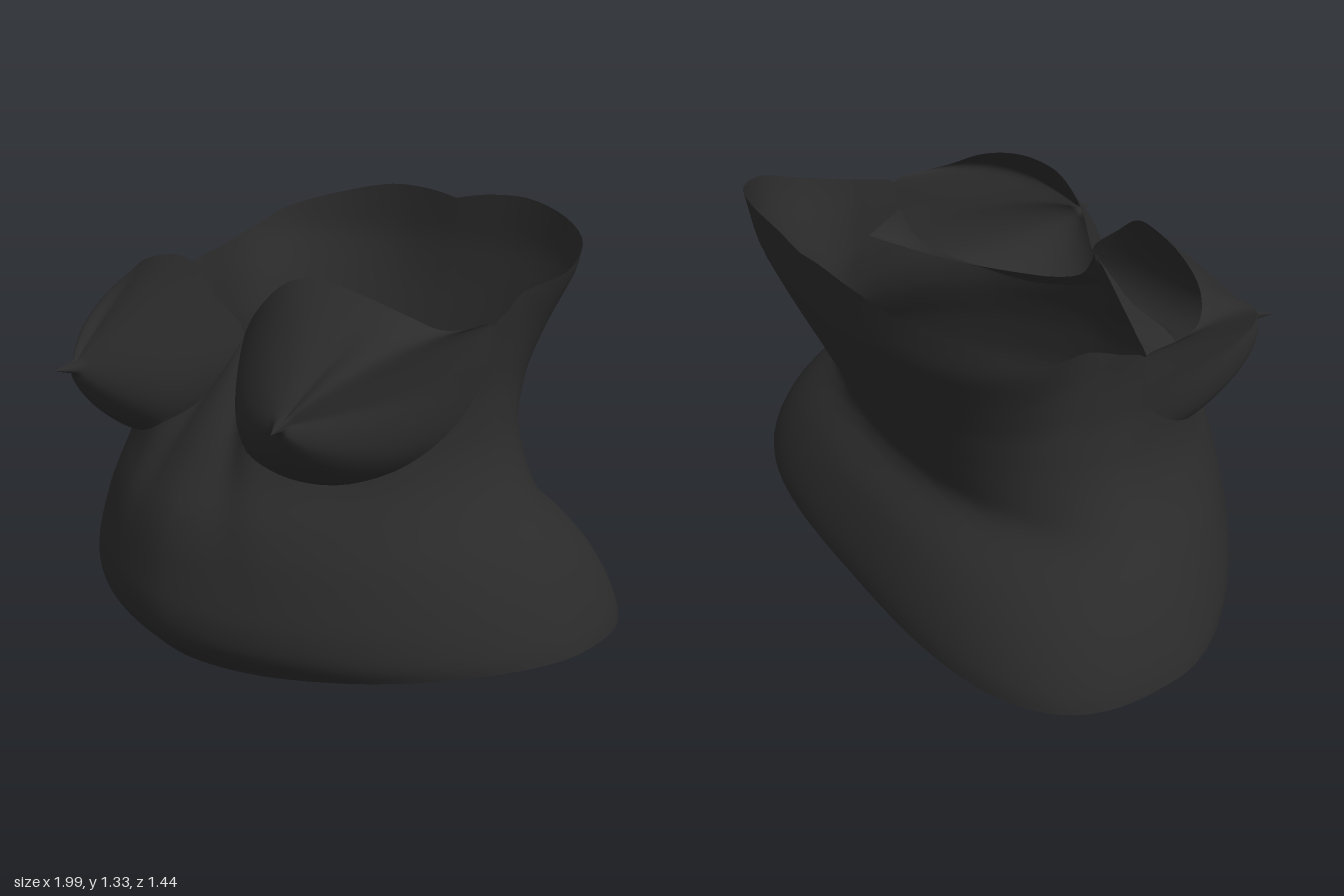
import * as THREE from 'three';

const fabric = new THREE.MeshStandardMaterial({ color: 0x2b2b2b, side: THREE.DoubleSide });
fabric.name = 'charcoal fabric';

const CENTRE_Z = -0.08;
const { clamp, lerp, smoothstep } = THREE.MathUtils;

// Torso sections: height, half width, front z, back z, squareness of the back
const SECTIONS = [
  [0, 0.98, 0.60, -0.63, 3], [0.05, 0.995, 0.665, -0.65, 3], [0.1, 1.0, 0.71, -0.655, 3],
  [0.2, 0.965, 0.725, -0.635, 2.9], [0.3, 0.92, 0.71, -0.60, 2.7], [0.4, 0.86, 0.695, -0.555, 2.3],
  [0.5, 0.78, 0.665, -0.455, 2], [0.6, 0.715, 0.60, -0.495, 1.95], [0.7, 0.675, 0.54, -0.535, 1.95],
  [0.85, 0.65, 0.44, -0.60, 2], [1.0, 0.655, 0.35, -0.66, 2.2],
  [1.15, 0.675, 0.33, -0.705, 2.5], [1.35, 0.66, 0.30, -0.725, 2.5],
];

// Seam where the cup meets the torso, from the centre front round to the side
const SEAM = [
  [0, 0.98, 0.33], [0.03, 0.88, 0.39], [0.09, 0.77, 0.45], [0.2, 0.69, 0.52],
  [0.32, 0.64, 0.49], [0.45, 0.62, 0.41], [0.57, 0.66, 0.29], [0.635, 0.74, 0.15],
  [0.66, 0.84, 0.04], [0.675, 0.95, 0.0], [0.68, 1.055, -0.02],
];
// Free upper edge of the cup, back to the centre front
const CUP_EDGE = [
  [0.68, 1.065, 0.1], [0.655, 1.075, 0.2], [0.58, 1.12, 0.27], [0.45, 1.165, 0.31],
  [0.3, 1.19, 0.325], [0.2, 1.17, 0.345], [0.1, 1.09, 0.355],
];
// Upper edge of the torso, from the side to the centre back
const BACK_EDGE = [
  [0.675, 1.09, -0.1], [0.655, 1.125, -0.2], [0.69, 1.165, -0.37], [0.65, 1.23, -0.52],
  [0.5, 1.285, -0.65], [0.3, 1.325, -0.715], [0.12, 1.32, -0.72], [0, 1.30, -0.715],
];
// Inner edge of the lining behind the cup
const LINING_EDGE = [
  [0.01, 0.95, 0.35], [0.1, 0.83, 0.37], [0.22, 0.77, 0.345], [0.36, 0.74, 0.29],
  [0.47, 0.76, 0.17], [0.56, 0.81, 0.03], [0.645, 0.9, -0.15],
];

const curve = (points, closed = false) =>
  new THREE.CatmullRomCurve3(points.map((p) => new THREE.Vector3(...p)), closed);

// Joins rows of points into one smooth surface, wrapping round when closed
function loft(rows, { closed = true, flip = false } = {}) {
  const n = rows[0].length;
  const index = [];
  for (let i = 0; i < rows.length - 1; i++) {
    for (let j = 0; j < (closed ? n : n - 1); j++) {
      const a = i * n + j, b = i * n + ((j + 1) % n);
      if (flip) index.push(a, b + n, b, a, a + n, b + n);
      else index.push(a, b, b + n, a, b + n, a + n);
    }
  }
  const geometry = new THREE.BufferGeometry().setFromPoints(rows.flat());
  geometry.setIndex(index);
  geometry.computeVertexNormals();
  return geometry;
}

// Section values at a height, linear between the listed ones
function sectionAt(y) {
  let i = 0;
  while (i < SECTIONS.length - 2 && y > SECTIONS[i + 1][0]) i++;
  const p = SECTIONS[i], q = SECTIONS[i + 1];
  const f = clamp((y - p[0]) / (q[0] - p[0]), 0, 1);
  return p.map((v, k) => lerp(v, q[k], f));
}

// Point on the torso at a height and an angle from the front
function torsoPoint(y, angle) {
  const low = sectionAt(y - 0.035), mid = sectionAt(y), high = sectionAt(y + 0.035);
  const [, width, front, back, square] = mid.map((v, k) => (low[k] + 2 * v + high[k]) / 4);
  const dx = Math.sin(angle), dz = Math.cos(angle);
  const depth = dz > 0 ? front - CENTRE_Z : CENTRE_Z - back;
  const n = dz > 0 ? 1.63 : square;
  const r = (Math.abs(dx / width) ** n + Math.abs(dz / depth) ** n) ** (-1 / n);
  return new THREE.Vector3(dx * r, y, CENTRE_Z + dz * r);
}

// Hem height, lowest at the centre front
const hemHeight = (angle) =>
  0.095 * smoothstep(angle, 0.08, 1.55) - 0.02 * smoothstep(angle, 1.5, 2.2);

function buildTorso() {
  const half = 72, rows = 32;
  const edge = curve([...SEAM, ...BACK_EDGE]);
  const rings = Array.from({ length: rows + 1 }, () => []);
  for (let j = 0; j < half * 2; j++) {
    const u = j <= half ? j / half : (2 * half - j) / half;
    const side = j <= half ? 1 : -1;
    const top = edge.getPoint(u);
    const hemAngle = u * Math.PI;
    const topAngle = Math.atan2(Math.max(top.x, 0), top.z - CENTRE_Z);
    const hem = hemHeight(hemAngle);
    const pull = top.clone().sub(torsoPoint(top.y, topAngle));
    for (let i = 0; i <= rows; i++) {
      const t = i / rows;
      const p = torsoPoint(lerp(hem, top.y, t), lerp(hemAngle, topAngle, t));
      p.addScaledVector(pull, t ** 3);
      p.x *= side;
      rings[i].push(p);
    }
  }
  return loft(rings);
}

// How rounded the cup is along the line from a rim point to the apex:
// full below and at the side, straighter towards the upper edge and centre
function roundness(r) {
  const byHeight = clamp(0.15 + (1.15 - r.y) * 2, 0.15, 1) * lerp(0.6, 1, clamp(r.x / 0.45, 0, 1));
  return Math.max(byHeight, 0.65 * smoothstep(r.x, 0.45, 0.66));
}

// Cup lofted from its rim to the apex, ending in a small point
function buildCup(side) {
  const count = 72, steps = 16;
  const rim = curve([...SEAM, ...CUP_EDGE], true);
  const apex = new THREE.Vector3(0.46, 0.85, 0.645);
  const tip = new THREE.Vector3(0.485 * side, 0.845, 0.7);
  let base = Array.from({ length: count }, (_, j) => rim.getPoint(j / count));
  const rings = [];
  for (let i = 0; i <= steps; i++) {
    const s = (i / steps) * 0.94;
    const phi = s * Math.PI / 2;
    rings.push(base.map((r) => {
      const round = roundness(r);
      const across = lerp(s, 1 - Math.cos(phi), round);
      const out = lerp(s, Math.sin(phi), round);
      return new THREE.Vector3(
        side * lerp(r.x, apex.x, across), lerp(r.y, apex.y, across), lerp(r.z, apex.z, out),
      );
    }));
    // Soften the rim's corners from ring to ring
    base = base.map((p, j) => p.clone().multiplyScalar(2)
      .add(base[(j + 2) % count]).add(base[(j + count - 2) % count]).divideScalar(4));
  }
  rings.push(Array.from({ length: count }, () => tip.clone()));
  return loft(rings, { flip: side < 0 });
}

// Band reaching from the lower seam inwards behind the cup
function buildLining(side) {
  const outer = curve(SEAM.slice(0, 10)), inner = curve(LINING_EDGE);
  const rows = [0, 0.25, 0.5, 0.75, 1].map((f) => Array.from({ length: 33 }, (_, j) => {
    const p = outer.getPoint(j / 32).lerp(inner.getPoint(j / 32), f);
    p.x *= side;
    return p;
  }));
  return loft(rows, { closed: false, flip: side < 0 });
}

export function createModel() {
  const group = new THREE.Group();
  group.name = 'straplessTop';
  const add = (name, geometry) => {
    const mesh = new THREE.Mesh(geometry, fabric);
    mesh.name = name;
    group.add(mesh);
  };
  add('torso', buildTorso());
  for (const [name, side] of [['left', 1], ['right', -1]]) {
    add(`${name}Cup`, buildCup(side));
    add(`${name}Lining`, buildLining(side));
  }
  return group;
}
